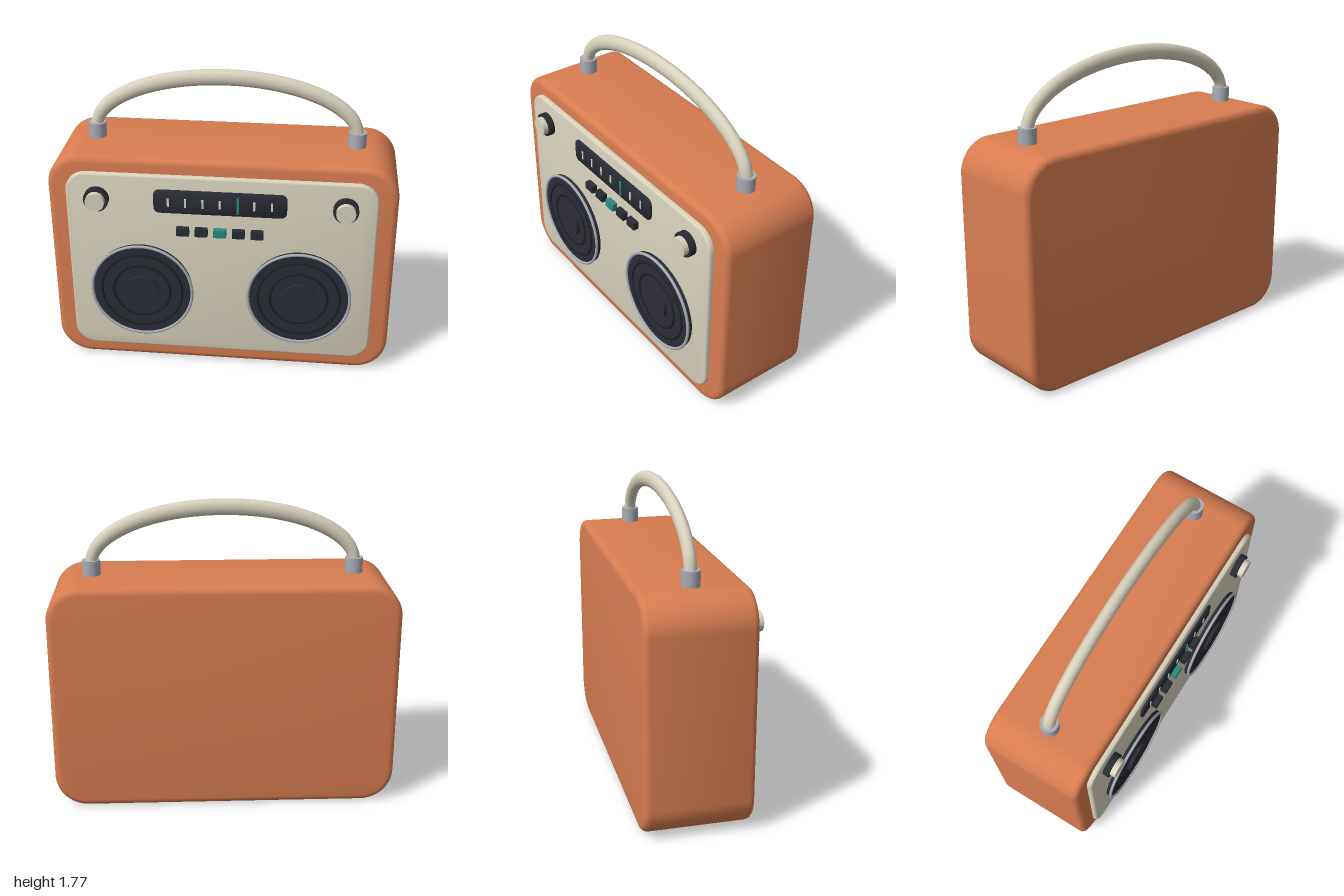
import * as THREE from 'three';
import { toCreasedNormals } from 'three/addons/utils/BufferGeometryUtils.js';

const material = (name, color) => {
  const m = new THREE.MeshStandardMaterial({ color });
  m.name = name;
  return m;
};

// Rounded slab centred on x, from y0 to y1 and z0 to z1
function slab(halfWidth, y0, y1, z0, z1, radius, bevel, segments = 3) {
  const x = halfWidth - bevel, b = y0 + bevel, t = y1 - bevel, r = radius - bevel;
  const s = new THREE.Shape();
  s.moveTo(-x + r, b);
  s.lineTo(x - r, b);
  s.absarc(x - r, b + r, r, -Math.PI / 2, 0, false);
  s.lineTo(x, t - r);
  s.absarc(x - r, t - r, r, 0, Math.PI / 2, false);
  s.lineTo(-x + r, t);
  s.absarc(-x + r, t - r, r, Math.PI / 2, Math.PI, false);
  s.lineTo(-x, b + r);
  s.absarc(-x + r, b + r, r, Math.PI, Math.PI * 1.5, false);
  const g = new THREE.ExtrudeGeometry(s, {
    depth: z1 - z0 - 2 * bevel, bevelEnabled: true, bevelSize: bevel,
    bevelThickness: bevel, bevelSegments: segments, curveSegments: 10,
  });
  g.translate(0, 0, z0 + bevel);
  return toCreasedNormals(g, 0.8);
}

// Disc facing +z, from z0 to z1
function disc(radius, z0, z1, sides = 48) {
  return new THREE.CylinderGeometry(radius, radius, z1 - z0, sides)
    .rotateX(Math.PI / 2).translate(0, 0, (z0 + z1) / 2);
}

export function createModel() {
  const orange = material('orange shell', 0xd97d50);
  const cream = material('cream', 0xd9d2be);
  const charcoal = material('charcoal', 0x2a2c35);
  const black = material('dark grooves', 0x1d1e25);
  const silver = material('silver', 0xa9adb5);
  const teal = material('teal', 0x2c8c80);

  const model = new THREE.Group();
  model.name = 'portableRadio';
  const add = (parent, name, geometry, mat, x = 0, y = 0, z = 0) => {
    const mesh = new THREE.Mesh(geometry, mat);
    mesh.name = name;
    mesh.position.set(x, y, z);
    parent.add(mesh);
    return mesh;
  };
  const addGroup = (name, x, y) => {
    const g = new THREE.Group();
    g.name = name;
    g.position.set(x, y, 0);
    model.add(g);
    return g;
  };

  // Case and front panel
  add(model, 'case', slab(1, 0, 1.34, -0.352, 0.257, 0.19, 0.034), orange);
  add(model, 'frontPanel', slab(0.89, 0.095, 1.252, 0.24, 0.286, 0.12, 0.012, 2), cream);

  // Speakers and knobs, mirrored
  for (const side of [-1, 1]) {
    const label = side > 0 ? 'left' : 'right';

    const speaker = addGroup(label + 'Speaker', side * 0.463, 0.507);
    add(speaker, 'speakerCone', disc(0.3, 0.28, 0.312), charcoal);
    add(speaker, 'speakerRim', new THREE.TorusGeometry(0.298, 0.009, 8, 64), silver, 0, 0, 0.313);
    for (const r of [0.24, 0.168]) {
      add(speaker, 'speakerRidge', new THREE.TorusGeometry(r, 0.007, 8, 48), black, 0, 0, 0.312);
    }
    add(speaker, 'speakerCap', disc(0.102, 0.3, 0.333), charcoal);

    const knob = addGroup(label + 'Knob', side * 0.708, 1.1);
    add(knob, 'knobBase', disc(0.072, 0.28, 0.323, 32), charcoal);
    add(knob, 'knobCap', disc(0.055, 0.32, 0.355, 32), cream);
  }

  // Tuning dial with scale marks and needle
  const dial = addGroup('tuningDial', 0, 0);
  add(dial, 'dialWindow', slab(0.38, 1.028, 1.172, 0.28, 0.301, 0.035, 0.004, 1), charcoal);
  for (const x of [-0.295, -0.197, -0.098, 0, 0.195, 0.295]) {
    add(dial, 'dialMark', new THREE.BoxGeometry(0.012, 0.054, 0.006), cream, x, 1.098, 0.302);
  }
  add(dial, 'dialNeedle', new THREE.BoxGeometry(0.013, 0.1, 0.009), teal, 0.102, 1.094, 0.3035);

  // Push buttons, the middle one accented
  for (let i = -2; i <= 2; i++) {
    add(model, 'button', new THREE.BoxGeometry(0.072, 0.048, 0.04),
      i === 0 ? teal : charcoal, i * 0.107, 0.917, 0.3);
  }

  // Handle: elliptical arch, its section stretched upward
  const stretch = 1.35;
  const arch = [];
  for (let i = 0; i <= 16; i++) {
    const a = Math.PI * i / 16;
    arch.push(new THREE.Vector3(0.76 * Math.cos(a), 0.33 * Math.sin(a) / stretch, 0));
  }
  const tube = new THREE.TubeGeometry(new THREE.CatmullRomCurve3(arch), 48, 0.035, 14);
  const handle = add(model, 'handle', tube, cream, 0, 1.398, -0.05);
  handle.scale.y = stretch;

  // Handle collars
  for (const side of [-1, 1]) {
    add(model, 'handleCollar', new THREE.CylinderGeometry(0.052, 0.052, 0.1, 24),
      silver, side * 0.757, 1.377, -0.05);
  }
  return model;
}
